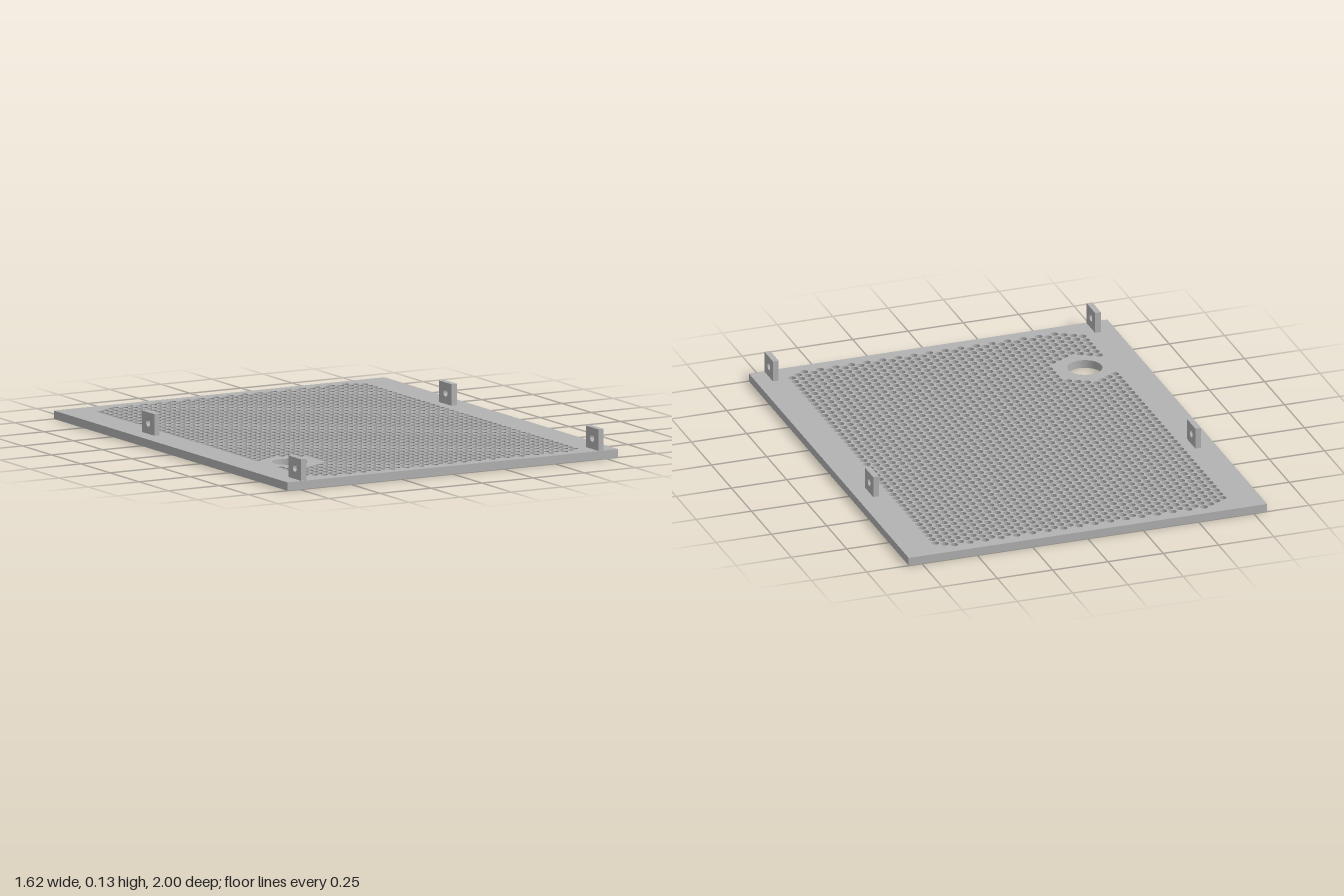
import * as THREE from 'three';

const HALF_W = 0.81, HALF_L = 1, THICK = 0.036;
const COLS = 38, COL_STEP = 0.0353, ROW_STEP = 0.0407, HOLE_R = 0.0172;
const PORT = { x: -0.554, z: 0.572, r: 0.075, clear: 0.132 };

// Circular hole outline as a polygon; the small turn keeps neighbours from lining up exactly
function circle(x, y, r, sides) {
  const pts = [];
  for (let i = 0; i < sides; i++) {
    const a = -(i / sides) * Math.PI * 2 + 0.1;
    pts.push(new THREE.Vector2(x + r * Math.cos(a), y + r * Math.sin(a)));
  }
  return new THREE.Path(pts);
}

function rectangle(x0, y0, x1, y1) {
  return new THREE.Shape([
    new THREE.Vector2(x0, y0), new THREE.Vector2(x1, y0),
    new THREE.Vector2(x1, y1), new THREE.Vector2(x0, y1),
  ]);
}

// Flat panel with a staggered grid of vents and one large round port
function panelGeometry() {
  const shape = rectangle(-HALF_W, -HALF_L, HALF_W, HALF_L);
  shape.holes.push(circle(PORT.x, -PORT.z, PORT.r, 40));
  for (let c = 0; c < COLS; c++) {
    const x = (c - (COLS - 1) / 2) * COL_STEP;
    // outer columns are shortened to chamfer the corners of the grid
    let half = c % 2 ? 23 : 22.5;
    if (c === 0) half = 21.5;
    if (c === 1 || c === COLS - 1) half = 22;
    for (let k = -half; k <= half; k++) {
      const z = k * ROW_STEP;
      if (Math.hypot(x - PORT.x, z - PORT.z) < PORT.clear) continue;
      shape.holes.push(circle(x, -z, HOLE_R, 12));
    }
  }
  const geo = new THREE.ExtrudeGeometry(shape, { depth: THICK, bevelEnabled: false });
  return geo.rotateX(-Math.PI / 2);
}

// Upright square lug with a screw hole through it
function tabGeometry() {
  const w = 0.106, top = 0.129, t = 0.026;
  const shape = rectangle(-w / 2, THICK, w / 2, top);
  shape.holes.push(circle(0, 0.084, 0.017, 20));
  const geo = new THREE.ExtrudeGeometry(shape, { depth: t, bevelEnabled: false });
  return geo.translate(0, 0, -t / 2).rotateY(Math.PI / 2);
}

export function createModel() {
  const model = new THREE.Group();
  model.name = 'ventPanel';
  const grey = new THREE.MeshStandardMaterial({ color: 0xb3b3b3 });
  grey.name = 'plain grey';

  const panel = new THREE.Mesh(panelGeometry(), grey);
  panel.name = 'perforatedPanel';
  model.add(panel);

  // Two lugs along each long side
  const tab = tabGeometry();
  for (const [side, sx] of [['left', 1], ['right', -1]]) {
    for (const [end, z] of [['Front', 0.942], ['Middle', -0.313]]) {
      const mesh = new THREE.Mesh(tab, grey);
      mesh.name = side + end + 'Tab';
      mesh.position.set(sx * 0.728, 0, z);
      model.add(mesh);
    }
  }
  return model;
}
